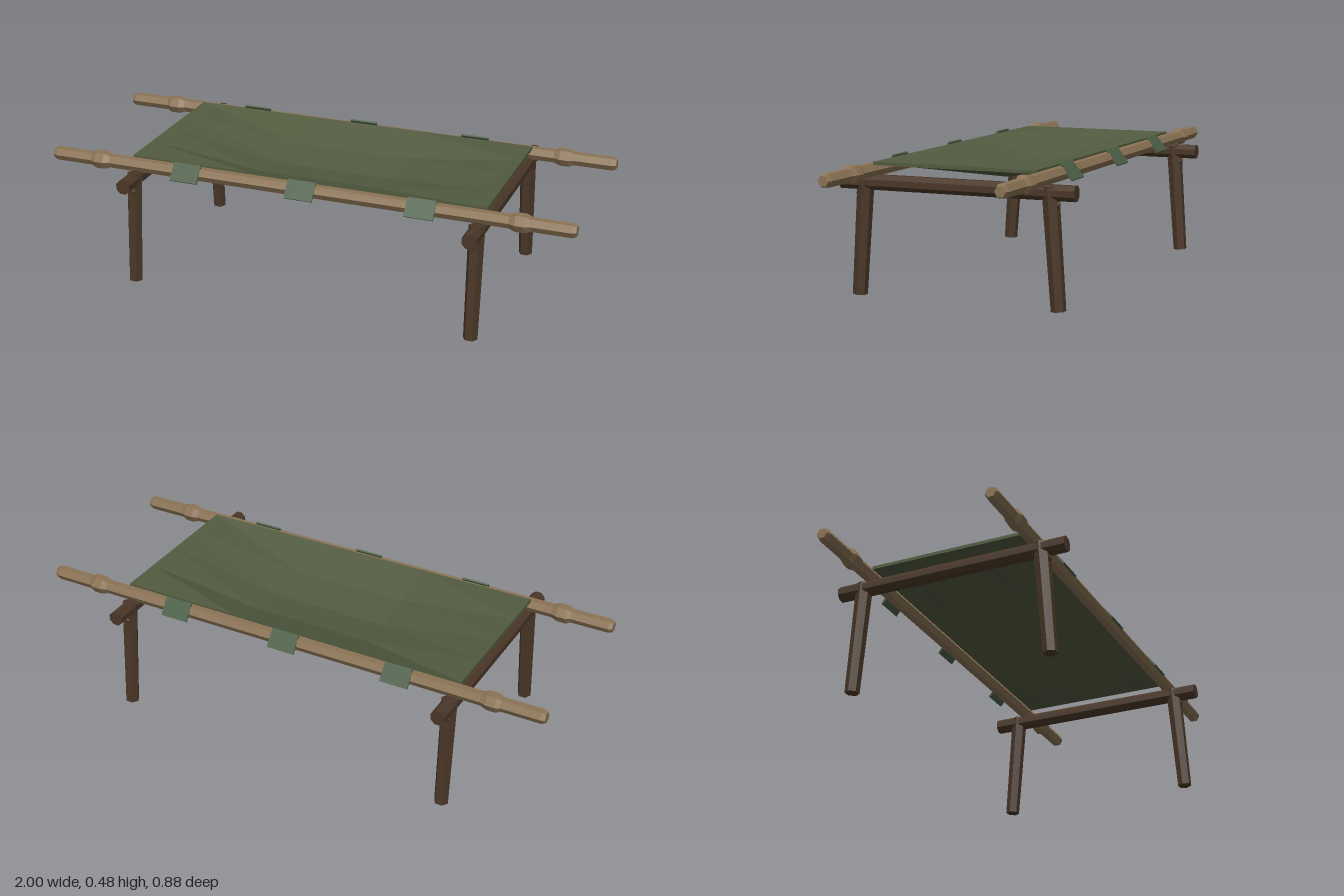
import * as THREE from 'three';

export function createModel() {
  const root = new THREE.Group();
  root.name = 'stretcher';

  const mat = (name, color, extra = {}) => {
    const m = new THREE.MeshStandardMaterial({ color, flatShading: true, ...extra });
    m.name = name;
    return m;
  };
  const paleWood = mat('paleWood', 0x8b7355);
  const darkWood = mat('darkWood', 0x4a3728);
  const canvas = mat('canvas', 0x525b40);
  const strapCloth = mat('strapCloth', 0x4a5d45);

  const add = (name, geometry, material, parent = root) => {
    const mesh = new THREE.Mesh(geometry, material);
    mesh.name = name;
    parent.add(mesh);
    return mesh;
  };

  // Tapered log between two points
  const log = (name, a, b, rA, rB, sides, material, twist = 0) => {
    const dir = b.clone().sub(a);
    const geo = new THREE.CylinderGeometry(rB, rA, dir.length(), sides);
    geo.rotateY(twist);
    const mesh = add(name, geo, material);
    mesh.position.copy(a).add(b).multiplyScalar(0.5);
    mesh.quaternion.setFromUnitVectors(new THREE.Vector3(0, 1, 0), dir.normalize());
    return mesh;
  };

  // Carrying poles: six-sided, with rounded tips and grip rings
  const tip = [[0, 1], [0.02, 1], [0.026, 0.985]];
  const ring = [[0.026, 0.84], [0.0345, 0.822], [0.0345, 0.788], [0.026, 0.765]];
  const half = [...tip, ...ring];
  const profile = [...half.map(([r, y]) => [r, -y]), ...half.reverse()]
    .map(([r, y]) => new THREE.Vector2(r, y));
  for (const s of [1, -1]) {
    const geo = new THREE.LatheGeometry(profile, 6);
    geo.rotateZ(-Math.PI / 2);
    add(s > 0 ? 'frontPole' : 'backPole', geo, paleWood).position.set(0, 0.445, s * 0.319);
  }

  // Trestles: a crossbar and two splayed legs at each end
  for (const x of [0.657, -0.657]) {
    log('crossbar', new THREE.Vector3(x, 0.401, -0.442), new THREE.Vector3(x, 0.401, 0.442),
      0.0285, 0.0285, 8, darkWood, Math.PI / 8);
    for (const s of [1, -1]) {
      log('leg', new THREE.Vector3(x, 0, s * 0.378), new THREE.Vector3(x, 0.422, s * 0.347),
        0.0265, 0.03, 6, darkWood, Math.PI / 6);
      // Small knot on the outside of the leg
      const knot = add('legKnot', new THREE.IcosahedronGeometry(0.017, 0), darkWood);
      knot.position.set(x, 0.36, s * 0.37);
    }
  }

  // Sagging canvas: two coarse sheets joined round the rim
  const nx = 3, nz = 4, thick = 0.012;
  const point = (i, j, k) => {
    const sag = 0.092 * Math.sin(Math.PI * i / nx) * Math.sin(Math.PI * j / nz);
    return [-0.68 + 1.36 * i / nx, 0.475 - sag - k * thick, -0.306 + 0.612 * j / nz];
  };
  const pos = [];
  const quad = (a, b, c, d) => [a, b, c, a, c, d].forEach(p => pos.push(...p));
  for (let i = 0; i < nx; i++) {
    for (let j = 0; j < nz; j++) {
      quad(point(i, j, 0), point(i, j + 1, 0), point(i + 1, j + 1, 0), point(i + 1, j, 0));
      quad(point(i, j, 1), point(i + 1, j, 1), point(i + 1, j + 1, 1), point(i, j + 1, 1));
    }
    quad(point(i, nz, 0), point(i, nz, 1), point(i + 1, nz, 1), point(i + 1, nz, 0));
    quad(point(i + 1, 0, 0), point(i + 1, 0, 1), point(i, 0, 1), point(i, 0, 0));
  }
  for (let j = 0; j < nz; j++) {
    quad(point(0, j, 0), point(0, j, 1), point(0, j + 1, 1), point(0, j + 1, 0));
    quad(point(nx, j + 1, 0), point(nx, j + 1, 1), point(nx, j, 1), point(nx, j, 0));
  }
  const sheet = new THREE.BufferGeometry();
  sheet.setAttribute('position', new THREE.Float32BufferAttribute(pos, 3));
  sheet.computeVertexNormals();
  add('canvasSheet', sheet, canvas);

  // Tilted straps along the outside of each pole
  for (const x of [-0.45, 0, 0.45]) {
    for (const s of [1, -1]) {
      const strap = add('strap', new THREE.BoxGeometry(0.107, 0.072, 0.007), strapCloth);
      strap.position.set(x, 0.45, s * 0.342);
      strap.rotation.x = -s * 0.66;
    }
  }
  return root;
}
